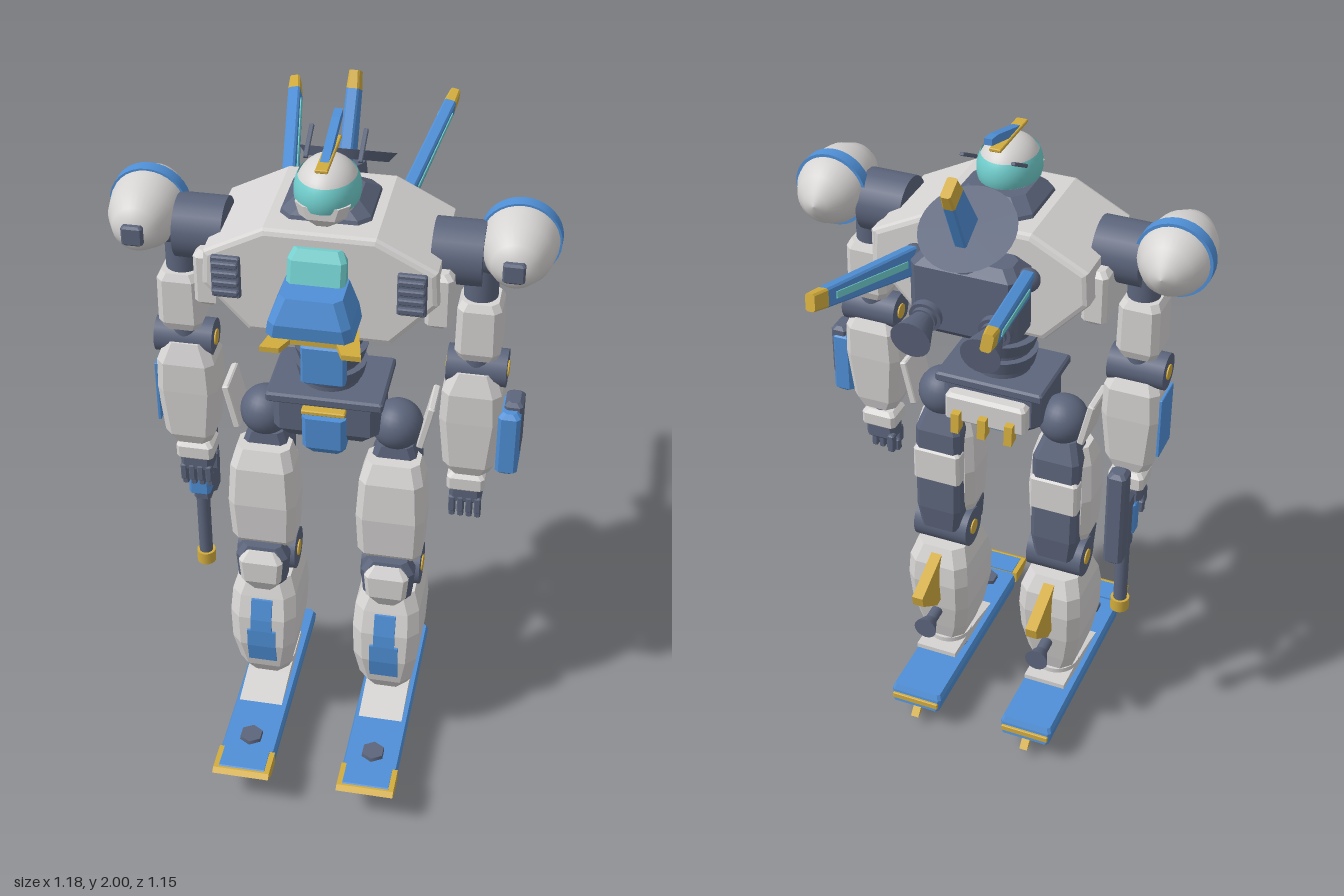
import * as THREE from 'three';

const mat = (name, color) => Object.assign(new THREE.MeshStandardMaterial({ color }), { name });
const white = mat('pale armour', 0xd6d4d3), dark = mat('slate frame', 0x5c657c), blue = mat('blue trim', 0x4f8fd6);
const yellow = mat('gold accent', 0xd2ac3e), teal = mat('teal glass', 0x6fcccb);
teal.side = THREE.DoubleSide;

// Chamfered rectangular cross-sections [y, halfWidth, zBack, zFront], joined upward
function loftGeometry(rings, c) {
  const pts = rings.map(([y, w, a, b]) => [[w, a + c], [w, b - c], [w - c, b], [c - w, b], [-w, b - c], [-w, a + c], [c - w, a], [w - c, a]]
    .map(([x, z]) => [x, y, z]));
  const pos = [], n = rings.length - 1;
  const tri = (...p) => p.forEach(q => pos.push(...q));
  for (let j = 0; j < 8; j++) {
    const k = (j + 1) % 8;
    for (let i = 0; i < n; i++) {
      tri(pts[i][j], pts[i + 1][j], pts[i + 1][k]);
      tri(pts[i][j], pts[i + 1][k], pts[i][k]);
    }
    if (j > 0 && j < 7) {
      tri(pts[0][0], pts[0][j], pts[0][k]);
      tri(pts[n][0], pts[n][k], pts[n][j]);
    }
  }
  const g = new THREE.BufferGeometry();
  g.setAttribute('position', new THREE.Float32BufferAttribute(pos, 3));
  g.computeVertexNormals();
  return g;
}

export function createModel() {
  const root = new THREE.Group();
  root.name = 'robot';
  const add = (name, geo, m, x = 0, y = 0, z = 0, parent = root) => {
    const mesh = new THREE.Mesh(geo, m);
    mesh.name = name;
    mesh.position.set(x, y, z);
    parent.add(mesh);
    return mesh;
  };
  const loft = (name, m, rings, c, x = 0, parent = root) => add(name, loftGeometry(rings, c), m, x, 0, 0, parent);
  // Box with chamfered edges
  const box = (name, m, w, h, d, x, y, z, parent = root) => {
    const c = Math.min(w, h, d) * 0.2, a = w / 2, b = h / 2, e = d / 2;
    return add(name, loftGeometry([[-b, a - c, c - e, e - c], [c - b, a, -e, e], [b - c, a, -e, e], [b, a - c, c - e, e - c]], c * 0.8), m, x, y, z, parent);
  };
  const cyl = (name, m, r1, r2, h, x, y, z, axis = 'y', seg = 24, parent = root) => {
    const g = new THREE.CylinderGeometry(r1, r2, h, seg);
    if (axis === 'x') g.rotateZ(-Math.PI / 2);
    if (axis === 'z') g.rotateX(Math.PI / 2);
    return add(name, g, m, x, y, z, parent);
  };
  const ball = (name, m, r, x, y, z) => add(name, new THREE.SphereGeometry(r, 24, 16), m, x, y, z);
  const shape = p => new THREE.Shape(p.map(q => new THREE.Vector2(...q)));
  // Side outline [z, y] with a thickness across x
  const side = (name, m, p, t, x) => {
    const g = new THREE.ExtrudeGeometry(shape(p), { depth: t, bevelEnabled: false });
    g.translate(0, 0, -t / 2).rotateY(-Math.PI / 2);
    return add(name, g, m, x);
  };
  // Tapered blade with a coloured tip, running from a to b
  const blade = (name, a, b, w0, w1, tip, stripe) => {
    const g = new THREE.Group(), A = new THREE.Vector3(...a), D = new THREE.Vector3(...b).sub(A), L = D.length(), k = L * tip;
    const wk = w0 + (w1 - w0) * tip;
    g.name = name;
    loft(name + 'Body', blue, [[0, 0.017, -w0 / 2, w0 / 2], [k, 0.017, -wk / 2, wk / 2]], 0.005, 0, g);
    loft(name + 'Tip', yellow, [[k, 0.017, -wk / 2, wk / 2], [L, 0.014, -w1 / 2, w1 / 2]], 0.005, 0, g);
    if (stripe) for (const s of [1, -1]) box(name + 'Stripe', teal, 0.004, k * 0.8, 0.018, s * 0.018, k * 0.52, 0, g);
    g.position.copy(A);
    g.quaternion.setFromUnitVectors(new THREE.Vector3(0, 1, 0), D.normalize());
    root.add(g);
  };

  // Head
  const headPart = (name, m, k, ...theta) => {
    const g = new THREE.SphereGeometry(1, 32, 20, 0, Math.PI * 2, ...theta);
    add(name, g.scale(0.082 * k, 0.085 * k, 0.1 * k), m, 0, 1.858, 0.14);
  };
  headPart('helmet', white, 1);
  headPart('visor', teal, 1.04, 1.07, 0.78);
  loft('jaw', white, [[1.785, 0.035, 0.09, 0.215], [1.815, 0.06, 0.06, 0.235], [1.85, 0.07, 0.06, 0.235]], 0.025);
  box('crestBase', yellow, 0.032, 0.01, 0.19, 0, 1.945, 0.13);
  side('crest', blue, [[0.2, 1.945], [0.12, 1.945], [-0.01, 1.982], [-0.01, 2], [0.03, 1.995]], 0.022, 0);
  for (const s of [1, -1]) box('headAntenna', dark, 0.012, 0.01, 0.1, s * 0.07, 1.922, 0.03).rotation.x = 0.5;

  // Torso
  loft('collar', dark, [[1.76, 0.125, -0.03, 0.21], [1.8, 0.115, -0.02, 0.195], [1.83, 0.08, 0.02, 0.17]], 0.03);
  const half = [[0.14, 1.775], [0.285, 1.7], [0.29, 1.62], [0.18, 1.5]];
  const chest = new THREE.ExtrudeGeometry(shape([...half, ...half.map(([x, y]) => [-x, y]).reverse()]),
    { depth: 0.315, bevelSize: 0.015, bevelThickness: 0.015, bevelSegments: 2 });
  add('chest', chest, white, 0, 0, -0.065);
  loft('cockpit', blue, [[1.53, 0.095, 0.25, 0.31], [1.57, 0.112, 0.25, 0.405], [1.61, 0.105, 0.25, 0.41], [1.675, 0.08, 0.25, 0.385]], 0.02);
  loft('cockpitGlass', teal, [[1.675, 0.075, 0.25, 0.315], [1.73, 0.075, 0.25, 0.295], [1.755, 0.062, 0.25, 0.275]], 0.012);
  const chin = new THREE.ExtrudeGeometry(shape([[-0.1, 0.25], [0.1, 0.25], [0.13, 0.385], [0.08, 0.385], [0.06, 0.34], [-0.06, 0.34], [-0.08, 0.385], [-0.13, 0.385]]),
    { depth: 0.015, bevelEnabled: false }).rotateX(Math.PI / 2);
  add('chestChevron', chin, yellow, 0, 1.525);
  for (const s of [1, -1]) {
    box('chestSide', white, 0.07, 0.16, 0.26, s * 0.3, 1.605, 0.105);
    box('ventFrame', dark, 0.075, 0.12, 0.02, s * 0.238, 1.648, 0.268);
    for (let i = 0; i < 4; i++) box('ventSlat', dark, 0.068, 0.016, 0.02, s * 0.238, 1.608 + i * 0.027, 0.28);
  }

  // Waist and hips
  cyl('waistCore', dark, 0.08, 0.08, 0.26, 0, 1.37, 0.1);
  for (let i = 0; i < 4; i++) cyl('waistRing', dark, 0.108 - i * 0.003, 0.09, 0.04, 0, 1.46 - i * 0.055, 0.1);
  box('waistPlate', blue, 0.12, 0.125, 0.04, 0, 1.365, 0.205);
  box('beltPlate', dark, 0.32, 0.03, 0.23, 0, 1.24, 0.1);
  loft('pelvis', dark, [[1.1, 0.12, 0.02, 0.18], [1.13, 0.145, 0, 0.2], [1.23, 0.145, 0, 0.2]], 0.02);
  loft('groinPlate', blue, [[1.055, 0.045, 0.05, 0.19], [1.09, 0.06, 0.05, 0.22], [1.19, 0.06, 0.1, 0.225]], 0.012);
  box('groinTrim', yellow, 0.12, 0.014, 0.04, 0, 1.21, 0.205);
  box('rearSkirt', white, 0.24, 0.09, 0.05, 0, 1.165, -0.015);
  for (const x of [-0.08, 0, 0.08]) side('rearTooth', yellow, [[-0.02, 1.165], [-0.06, 1.16], [-0.065, 1.1], [-0.03, 1.105]], 0.024, x);

  // Backpack
  box('backpack', dark, 0.3, 0.23, 0.13, 0, 1.615, -0.125);
  cyl('dish', dark, 0.13, 0.11, 0.025, 0, 1.803, -0.138, 'y', 32).rotation.x = -0.5;
  cyl('dishMount', dark, 0.05, 0.06, 0.1, 0, 1.745, -0.13);
  blade('tailFin', [0, 1.78, -0.135], [0, 1.985, -0.255], 0.1, 0.06, 0.8);

  for (const s of [1, -1]) {
    // Thrusters and wings
    const nozzle = new THREE.Group();
    nozzle.name = 'thruster';
    cyl('thrusterNeck', dark, 0.035, 0.035, 0.08, 0, 0, 0.03, 'z', 20, nozzle);
    cyl('thrusterRing', dark, 0.045, 0.045, 0.025, 0, 0, 0.015, 'z', 20, nozzle);
    cyl('thrusterBell', dark, 0.027, 0.056, 0.09, 0, 0, -0.045, 'z', 20, nozzle);
    nozzle.position.set(s * 0.097, 1.56, -0.205);
    nozzle.rotation.x = -0.15;
    root.add(nozzle);
    ball('wingPivot', dark, 0.032, s * 0.158, 1.69, -0.125);
    blade('wing', [s * 0.158, 1.685, -0.14], [s * 0.228, 1.785, -0.565], 0.075, 0.045, 0.88, true);

    // Shoulder pod
    const pod = [[0, -0.055], [0.035, -0.043], [0.07, -0.01], [0.092, 0.03], [0.1, 0.065], [0.099, 0.1], [0.088, 0.16], [0.062, 0.215], [0.035, 0.238], [0, 0.24]];
    const podGeo = new THREE.LatheGeometry(pod.map(p => new THREE.Vector2(...p)), 32).rotateX(Math.PI / 2);
    add('shoulderPod', podGeo, white, s * 0.485, 1.725);
    cyl('podBand', blue, 0.105, 0.105, 0.036, s * 0.485, 1.725, 0.068, 'z', 32);
    box('podCap', dark, 0.056, 0.056, 0.03, s * 0.485, 1.725, 0.24);
    cyl('shoulderJoint', dark, 0.085, 0.085, 0.13, s * 0.335, 1.69, 0.108, 'x');
    cyl('shoulderAxle', dark, 0.06, 0.06, 0.14, s * 0.37, 1.7, 0.108, 'x');

    // Arm
    cyl('upperArmCore', dark, 0.045, 0.045, 0.4, s * 0.395, 1.5, 0.11);
    loft('upperArm', white, [[1.395, 0.05, 0.06, 0.165], [1.42, 0.06, 0.05, 0.175], [1.55, 0.058, 0.05, 0.175], [1.57, 0.048, 0.06, 0.165]], 0.018, s * 0.398);
    cyl('elbow', dark, 0.052, 0.052, 0.16, s * 0.397, 1.345, 0.108, 'x');
    for (const t of [1, -1]) cyl('elbowCap', yellow, 0.022, 0.022, 0.006, s * 0.397 + t * 0.081, 1.345, 0.108, 'x', 12);
    loft('forearm', white, [[1.015, 0.055, 0.065, 0.165], [1.05, 0.07, 0.055, 0.18], [1.2, 0.084, 0.045, 0.185], [1.29, 0.08, 0.045, 0.185], [1.35, 0.058, 0.075, 0.165]], 0.022, s * 0.39);
    box('wrist', white, 0.105, 0.06, 0.09, s * 0.385, 0.97, 0.11);
    cyl('wristJoint', dark, 0.03, 0.03, 0.06, s * 0.385, 1.01, 0.11);
    box('palm', dark, 0.09, 0.07, 0.07, s * 0.385, 0.925, 0.11);
    for (let i = 0; i < 4; i++) {
      const x = s * 0.385 + (i - 1.5) * 0.024;
      box('finger', dark, 0.018, 0.055, 0.024, x, 0.89, 0.135);
      box('fingerTip', dark, 0.017, 0.04, 0.022, x, 0.858, 0.122);
    }
    box('thumb', dark, 0.02, 0.06, 0.024, s * 0.345, 0.895, 0.075);

    // Upper leg
    ball('hipBall', dark, 0.072, s * 0.185, 1.115, 0.1);
    cyl('hipAxle', dark, 0.045, 0.045, 0.12, s * 0.13, 1.12, 0.1, 'x');
    box('sideSkirt', white, 0.02, 0.14, 0.12, s * 0.27, 1.15, 0.1).rotation.z = -s * 0.22;
    loft('thighFrame', dark, [[0.64, 0.06, 0.04, 0.15], [0.72, 0.07, 0.03, 0.15], [1, 0.07, 0.035, 0.15], [1.06, 0.05, 0.06, 0.14]], 0.015, s * 0.183);
    loft('thigh', white, [[0.67, 0.075, 0.1, 0.17], [0.72, 0.092, 0.08, 0.205], [0.85, 0.097, 0.07, 0.215], [0.97, 0.09, 0.08, 0.205], [1.025, 0.075, 0.09, 0.18]], 0.022, s * 0.183);
    box('thighBand', white, 0.145, 0.12, 0.05, s * 0.183, 0.88, 0.053);

    // Knee
    cyl('knee', dark, 0.062, 0.062, 0.17, s * 0.183, 0.625, 0.108, 'x');
    for (const t of [1, -1]) cyl('kneeCap', yellow, 0.024, 0.024, 0.006, s * 0.183 + t * 0.086, 0.625, 0.108, 'x', 12);
    loft('kneeFrame', dark, [[0.545, 0.04, 0.16, 0.215], [0.59, 0.07, 0.16, 0.23], [0.67, 0.076, 0.16, 0.23], [0.705, 0.055, 0.16, 0.22]], 0.015, s * 0.183);
    loft('kneePad', white, [[0.55, 0.034, 0.18, 0.225], [0.595, 0.058, 0.18, 0.248], [0.665, 0.064, 0.18, 0.248], [0.695, 0.046, 0.18, 0.228]], 0.012, s * 0.183);

    // Lower leg
    loft('shin', white, [[0.195, 0.062, 0.05, 0.2], [0.25, 0.078, 0.035, 0.235], [0.35, 0.094, 0.012, 0.255], [0.45, 0.098, 0, 0.25], [0.52, 0.094, 0.005, 0.23], [0.575, 0.076, 0.03, 0.21]], 0.03, s * 0.183);
    const strip = side('shinStripe', blue, [[0.2, 0.285], [0.25, 0.285], [0.262, 0.35], [0.262, 0.41], [0.2, 0.41]], 0.084, s * 0.183);
    strip.position.z = -0.002;
    side('shinStripeTop', blue, [[0.2, 0.41], [0.26, 0.41], [0.256, 0.45], [0.238, 0.515], [0.2, 0.515]], 0.062, s * 0.183);
    side('calfFin', yellow, [[0.03, 0.56], [-0.125, 0.495], [-0.118, 0.46], [-0.02, 0.385], [0.03, 0.39]], 0.034, s * 0.183);
    cyl('calfThrusterNeck', dark, 0.018, 0.018, 0.06, s * 0.183, 0.33, -0.015, 'z', 16);
    cyl('calfThruster', dark, 0.02, 0.036, 0.04, s * 0.183, 0.33, -0.055, 'z', 16);

    // Ankle
    cyl('ankle', dark, 0.055, 0.06, 0.09, s * 0.183, 0.17, 0.11);
    cyl('ankleRing', white, 0.07, 0.07, 0.016, s * 0.183, 0.188, 0.11);
    side('anklePlate', white, [[0.295, 0.15], [0.12, 0.148], [0, 0.165], [0, 0.18], [0.12, 0.178], [0.18, 0.172]], 0.13, s * 0.183);

    // Skate foot
    loft('footBoard', blue, [[0.08, 0.077, -0.165, 0.475], [0.118, 0.082, -0.158, 0.475], [0.135, 0.076, -0.15, 0.475]], 0.008, s * 0.183);
    side('footTip', yellow, [[0.475, 0.1], [0.53, 0.1], [0.575, 0.128], [0.56, 0.138], [0.475, 0.138]], 0.166, s * 0.183);
    side('footTipCore', blue, [[0.475, 0.08], [0.51, 0.082], [0.568, 0.126], [0.55, 0.141], [0.475, 0.141]], 0.135, s * 0.183);
    box('heelTrim', yellow, 0.15, 0.02, 0.01, s * 0.183, 0.1, -0.162);
    side('heelSpike', yellow, [[-0.09, 0.085], [-0.13, 0.085], [-0.172, 0.038], [-0.15, 0.042]], 0.025, s * 0.183);
    cyl('footStud', dark, 0.034, 0.036, 0.014, s * 0.183, 0.14, 0.42, 'y', 6);
    for (const z of [0.425, 0.195, -0.035]) {
      cyl('wheel', dark, 0.064, 0.064, 0.055, s * 0.183, 0.066, z, 'x', 28);
      cyl('wheelRim', dark, 0.045, 0.045, 0.075, s * 0.183, 0.066, z, 'x', 24);
      cyl('wheelHub', teal, 0.024, 0.024, 0.084, s * 0.183, 0.066, z, 'x', 16);
    }
  }

  // Left forearm launcher and right forearm panel
  box('launcherShell', blue, 0.06, 0.2, 0.115, 0.495, 1.142, 0.128);
  box('launcherPod', dark, 0.05, 0.165, 0.08, 0.503, 1.178, 0.115);
  box('forearmPanel', blue, 0.009, 0.19, 0.1, -0.474, 1.18, 0.115);

  // Rifle in the right hand
  box('rifleStock', dark, 0.055, 0.32, 0.06, -0.385, 0.89, 0.01);
  box('rifleReceiver', dark, 0.05, 0.2, 0.06, -0.388, 0.84, 0.06);
  box('rifleGrip', blue, 0.062, 0.12, 0.05, -0.388, 0.84, 0.09);
  cyl('rifleBarrel', dark, 0.02, 0.02, 0.26, -0.39, 0.65, 0.07, 'y', 16);
  cyl('rifleMuzzle', yellow, 0.028, 0.028, 0.04, -0.39, 0.52, 0.07, 'y', 16);

  return root;
}
